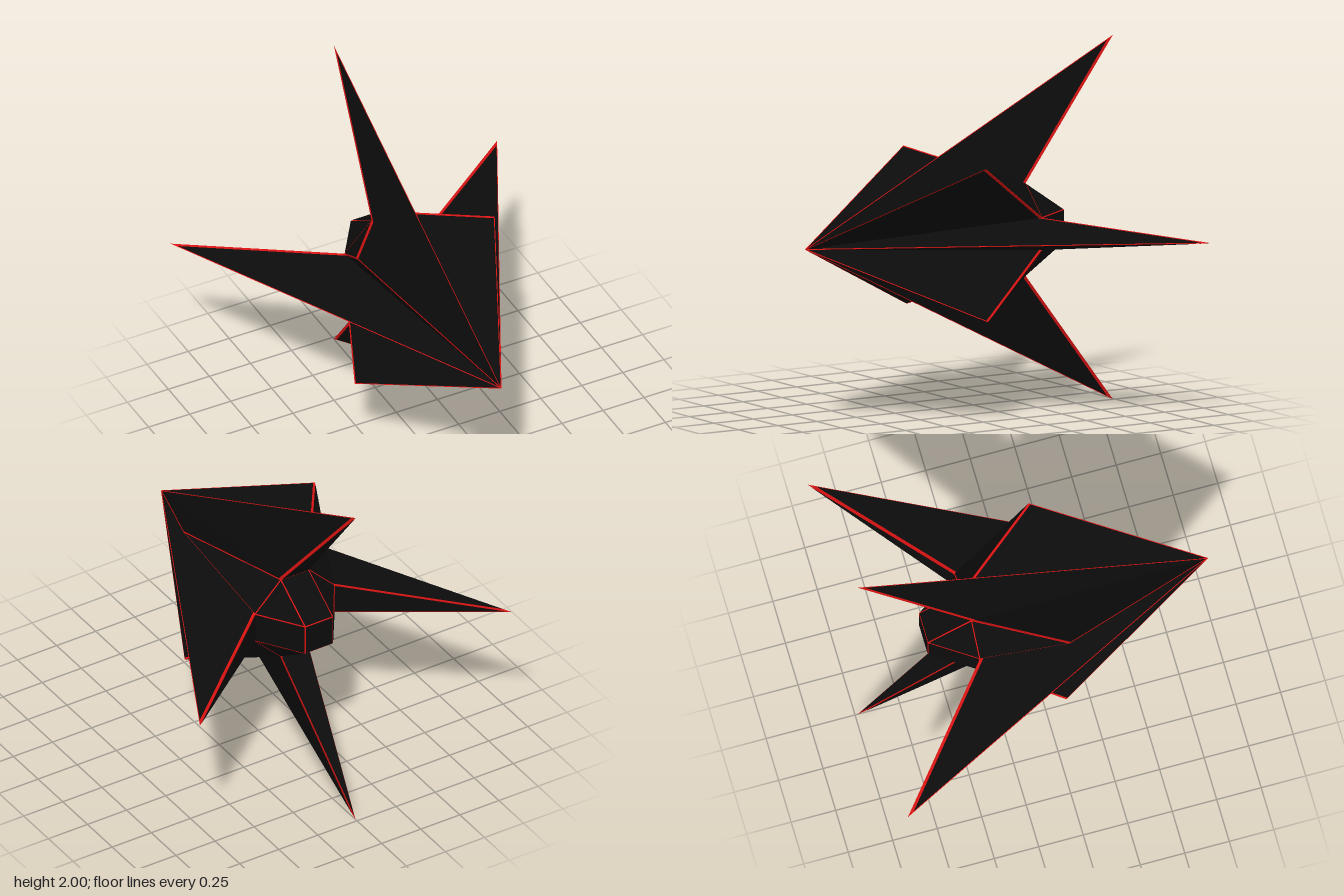
import * as THREE from 'three';

const black = new THREE.MeshStandardMaterial({ color: 0x0c0c0c });
black.name = 'black panel';
const red = new THREE.MeshStandardMaterial({ color: 0xd81212 });
red.name = 'red trim';

const V = (x, y, z) => new THREE.Vector3(x, y, z);
const CORE = V(0, 0, 0.2); // every face looks away from this inner point
const LIFT = 0.002;        // height of the panels above the red hull

// Convex flat polygon, turned outwards, with one inset width per edge (edge i runs from point i to i + 1)
function face(points, insets) {
  const n = V().crossVectors(points[1].clone().sub(points[0]), points[2].clone().sub(points[0])).normalize();
  const flip = n.dot(points[0].clone().sub(CORE)) < 0;
  if (flip) n.negate();
  return { points, insets, n, flip };
}

// Inset outline: each corner slides along its two edges
function inset({ points, insets, n }) {
  const k = points.length;
  return points.map((p, i) => {
    const next = points[(i + 1) % k].clone().sub(p).normalize();
    const back = points[(i + k - 1) % k].clone().sub(p).normalize();
    const sin = V().crossVectors(next, back).length();
    return p.clone()
      .addScaledVector(back, insets[i] / sin)
      .addScaledVector(next, insets[(i + k - 1) % k] / sin)
      .addScaledVector(n, LIFT);
  });
}

function mesh(name, polygons, material) {
  const pos = [];
  for (const { points, flip } of polygons) {
    for (let i = 1; i < points.length - 1; i++) {
      const tri = flip ? [points[0], points[i + 1], points[i]] : [points[0], points[i], points[i + 1]];
      tri.forEach((p) => pos.push(p.x, p.y, p.z));
    }
  }
  const geo = new THREE.BufferGeometry();
  geo.setAttribute('position', new THREE.Float32BufferAttribute(pos, 3));
  geo.computeVertexNormals();
  const m = new THREE.Mesh(geo, material);
  m.name = name;
  return m;
}

// Red hull part covered with slightly smaller black panels
function part(name, faces) {
  const g = new THREE.Group();
  g.name = name;
  g.add(mesh(name + 'Trim', faces, red));
  g.add(mesh(name + 'Panels', faces.map((f) => ({ points: inset(f), flip: f.flip })), black));
  return g;
}

export function createModel() {
  const model = new THREE.Group();
  model.name = 'starShip';
  const nose = V(0, 0, 0.985);

  // Eight valley points around the waist, counter-clockwise from the lower left-wing root
  const A = 0.253, B = 0.088, WAIST = -0.37, TAIL = -0.615;
  const ring = [[A, -B], [A, B], [B, A], [-B, A], [-A, B], [-A, -B], [-B, -A], [B, -A]]
    .map(([x, y]) => V(x, y, WAIST));

  // Fin tips: long and short ones alternate
  const tips = [
    ['leftWing', V(0.995, 0, -0.985)], ['upperLeftFin', V(0.42, 0.42, 0.095)],
    ['topFin', V(0, 1, -0.985)], ['upperRightFin', V(-0.42, 0.43, 0.09)],
    ['rightWing', V(-0.995, 0, -0.985)], ['lowerRightFin', V(-0.42, -0.44, 0.07)],
    ['bottomFin', V(0, -1, -0.985)], ['lowerLeftFin', V(0.42, -0.42, 0.08)],
  ];
  tips.forEach(([name, tip], i) => {
    const a = ring[i], b = ring[(i + 1) % 8];
    const rear = i % 2 ? 0.011 : 0.016;
    model.add(part(name, [
      face([nose, a, tip], [0.003, rear, 0.004]),
      face([nose, b, tip], [0.003, rear, 0.004]),
      face([a, b, tip], [0.004, 0.002, 0.002]),
    ]));
  });

  // Tail block: eight sides closing to a square end
  const square = [[B, B], [-B, B], [-B, -B], [B, -B]].map(([x, y]) => V(x, y, TAIL));
  const e = 0.003;
  const tail = [face(square, [e, e, e, e])];
  for (let i = 0; i < 4; i++) {
    const s = square[i], before = square[(i + 3) % 4];
    const a = ring[2 * i], b = ring[2 * i + 1], c = ring[(2 * i + 2) % 8];
    tail.push(face([a, b, s, before], [e, e, e, e]));
    tail.push(face([b, c, s], [e, e, e]));
  }
  model.add(part('tail', tail));

  // Raise the axis so the bottom fin tip stands on the ground
  model.children.forEach((c) => { c.position.y = 1; });
  return model;
}
